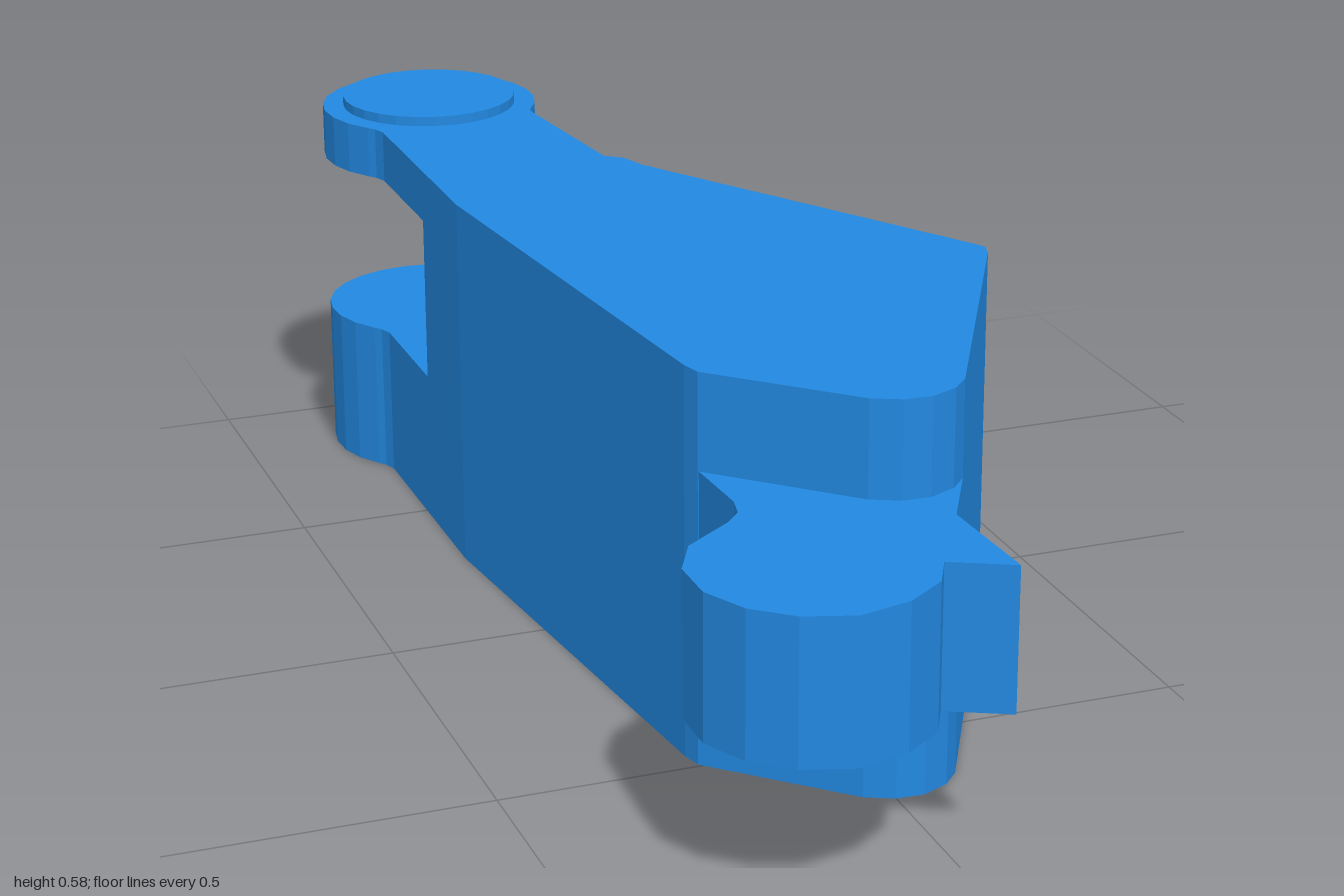
import * as THREE from 'three';

const material = new THREE.MeshStandardMaterial({ color: 0x2288e0, flatShading: true });

// Extrudes a plan outline of [x, z] points between two heights.
function slab(name, outline, y0, y1) {
  const shape = new THREE.Shape(outline.map(([x, z]) => new THREE.Vector2(x, -z)));
  const geometry = new THREE.ExtrudeGeometry(shape, { depth: y1 - y0, bevelEnabled: false });
  geometry.rotateX(-Math.PI / 2).translate(0, y0, 0);
  const mesh = new THREE.Mesh(geometry, material);
  mesh.name = name;
  return mesh;
}

// Points along an arc in plan; angles in degrees from +x towards +z.
function arc(cx, cz, r, from, to, steps) {
  return Array.from({ length: steps + 1 }, (_, i) => {
    const a = THREE.MathUtils.degToRad(from + ((to - from) * i) / steps);
    return [cx + r * Math.cos(a), cz + r * Math.sin(a)];
  });
}

export function createModel() {
  const group = new THREE.Group();
  group.name = 'trackLink';
  const pinX = -0.183, pinZ = -0.829, slotZ = -0.475;

  // Full-height body with a pointed flank and a rounded nose
  const body = [
    [-0.3, slotZ], [-0.018, slotZ], [-0.015, -0.45], [0.01, -0.43], [0.025, -0.385],
    [0.345, 0.145], [0.352, 0.16], [0.345, 0.185], [0.105, 0.64], [0.08, 0.667], [0.04, 0.685],
    [0, 0.683], [-0.04, 0.664], [-0.212, 0.495], [-0.22, 0.465], [-0.3, -0.295],
  ];
  group.add(slab('body', body, 0, 0.57));

  // Forked rear arms ending in round knuckles
  const arm = [
    [-0.3, slotZ], [-0.3, -0.69], [-0.307, -0.71],
    ...arc(pinX, pinZ, 0.171, 141, 396, 18),
    [-0.045, -0.715], [-0.018, slotZ],
  ];
  group.add(slab('lowerArm', arm, 0, 0.235));
  group.add(slab('upperArm', arm, 0.49, 0.57));

  // Pin head on the upper knuckle
  const pin = new THREE.Mesh(new THREE.CylinderGeometry(0.138, 0.138, 0.015, 28), material);
  pin.name = 'pinHead';
  pin.position.set(pinX, 0.5775, pinZ);
  group.add(pin);

  // Front tongue with a round end and a small hooked spur
  const tongue = [
    [-0.211, 0.495], [-0.205, 0.61], [-0.213, 0.645], [-0.235, 0.67], [-0.31, 0.725],
    [-0.343, 0.79], [-0.343, 0.865], [-0.312, 0.93], [-0.26, 0.975], [-0.19, 0.998],
    [-0.115, 0.98], [-0.057, 0.938], [-0.03, 0.885],
    [0.055, 0.928], [0.047, 0.75], [0.105, 0.64], [0, 0.6],
  ];
  group.add(slab('tongue', tongue, 0.225, 0.43));

  return group;
}
